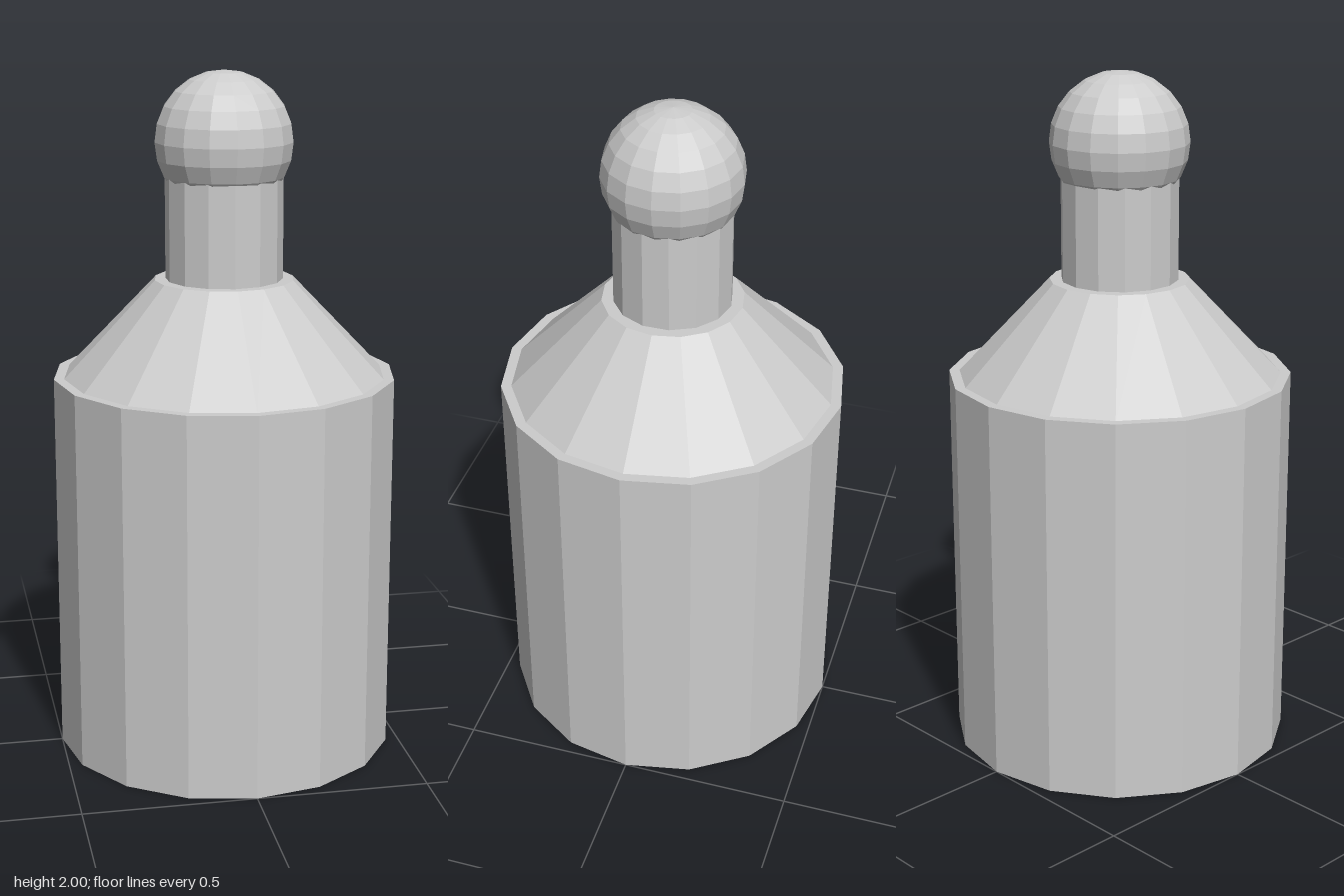
import * as THREE from 'three';

export function createModel() {
  const model = new THREE.Group();
  model.name = 'bottle';
  const grey = new THREE.MeshStandardMaterial({ color: 0xcccccc, flatShading: true });
  grey.name = 'light grey';

  function add(name, geometry, y) {
    const mesh = new THREE.Mesh(geometry, grey);
    mesh.name = name;
    mesh.position.y = y;
    model.add(mesh);
  }

  // A round section standing between two heights
  function section(name, topRadius, bottomRadius, y0, y1, sides) {
    add(name, new THREE.CylinderGeometry(topRadius, bottomRadius, y1 - y0, sides), (y0 + y1) / 2);
  }

  section('body', 0.5, 0.5, 0, 1.125, 16);
  section('shoulder', 0.203, 0.47, 1.125, 1.405, 16);
  section('neck', 0.17, 0.17, 1.405, 1.75, 14);

  // Ball stopper resting on the neck
  add('stopper', new THREE.SphereGeometry(0.2, 16, 12), 1.8);

  return model;
}
